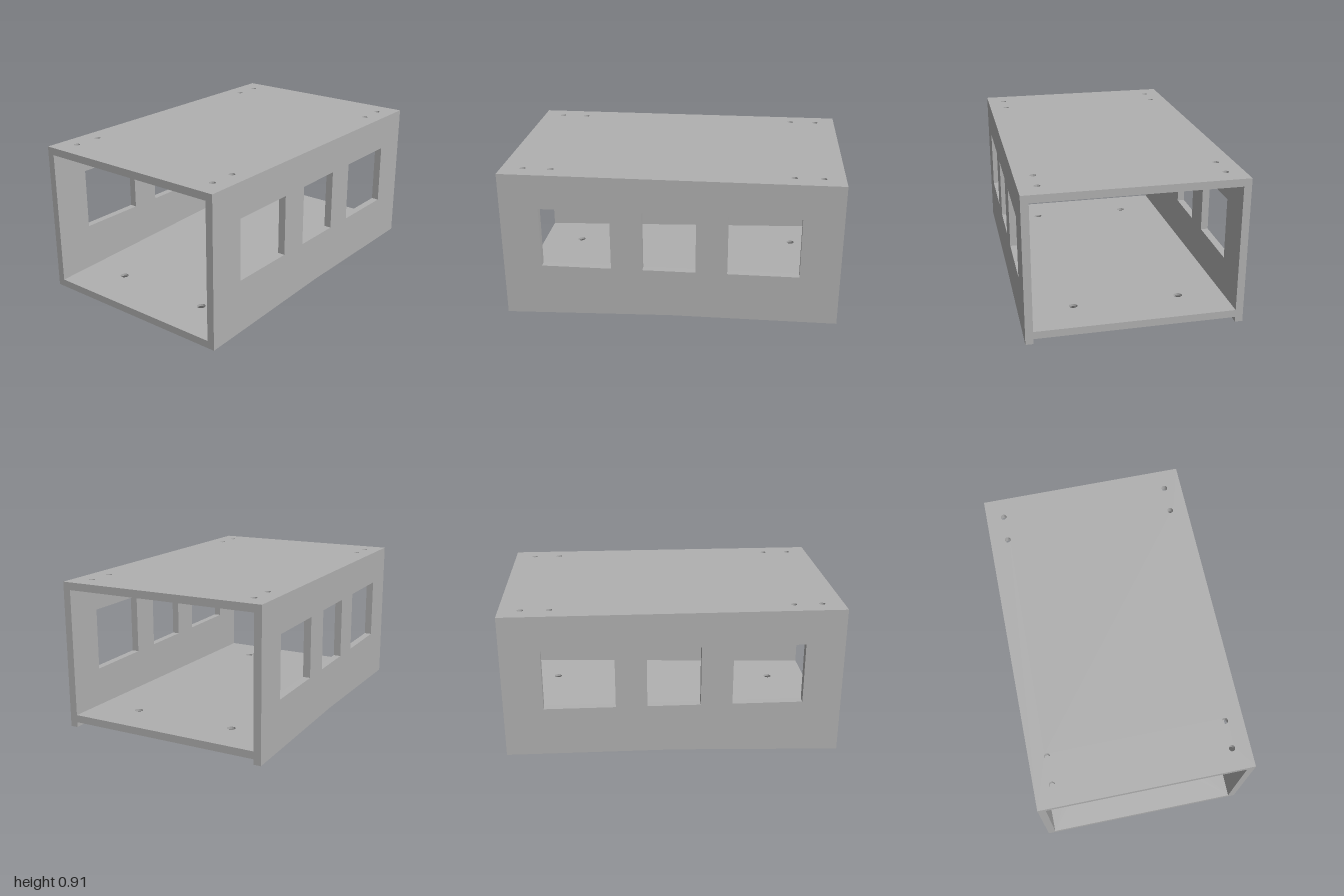
import * as THREE from 'three';
import { toCreasedNormals } from 'three/addons/utils/BufferGeometryUtils.js';

const W = 0.63, H = 0.91, L = 1;      // half width, height, half length
const T = 0.045;                      // plate thickness
const SLOPE = 0.031;                  // floor rise per unit towards the back

function rectangle(Type, x0, x1, y0, y1) {
  const r = new Type();
  r.moveTo(x0, y0).lineTo(x1, y0).lineTo(x1, y1).lineTo(x0, y1).closePath();
  return r;
}

// Horizontal plate with a round hole at every (+-x, z)
function plate(halfWidth, holeX, holeZs, radius) {
  const shape = rectangle(THREE.Shape, -halfWidth, halfWidth, -L, L);
  for (const x of [-holeX, holeX]) for (const z of holeZs) {
    shape.holes.push(new THREE.Path().absarc(x, -z, radius, 0, Math.PI * 2, true));
  }
  return new THREE.ExtrudeGeometry(shape, { depth: T, bevelEnabled: false, curveSegments: 32 })
    .rotateX(-Math.PI / 2);
}

// Tilt a level geometry so that it rises towards the back
function tilt(geometry) {
  const p = geometry.attributes.position;
  for (let i = 0; i < p.count; i++) p.setY(i, p.getY(i) + SLOPE * (L - p.getZ(i)));
  return toCreasedNormals(geometry, 0.4);
}

export function createModel() {
  const model = new THREE.Group();
  const grey = new THREE.MeshStandardMaterial({ color: 0xb0b0b0 });
  grey.name = 'grey';
  const add = (geometry, name) => {
    const mesh = new THREE.Mesh(geometry, grey);
    mesh.name = name;
    model.add(mesh);
  };

  // Roof with four pairs of small through holes
  const roof = plate(W, 0.523, [-0.873, -0.708, 0.705, 0.87], 0.018);
  add(toCreasedNormals(roof.translate(0, H - T, 0), 0.4), 'roof');

  // Side walls: three windows, lower edge sloping along the front half
  const side = new THREE.Shape();
  side.moveTo(L, 0).lineTo(L, H - T).lineTo(-L, H - T).lineTo(-L, SLOPE).lineTo(0, SLOPE).closePath();
  for (const [z0, z1] of [[0.348, 0.768], [-0.157, 0.16], [-0.765, -0.343]]) {
    side.holes.push(rectangle(THREE.Path, z0, z1, 0.33, 0.7));
  }
  const wall = new THREE.ExtrudeGeometry(side, { depth: T, bevelEnabled: false }).rotateY(-Math.PI / 2);
  add(wall.clone().translate(W, 0, 0), 'leftWall');
  add(wall.translate(-W + T, 0, 0), 'rightWall');

  // Sloping floor with four countersunk screw holes, wide side down
  const holeX = 0.317, holeZs = [-0.745, 0.737], wide = 0.053, narrow = 0.025;
  add(tilt(plate(W - T, holeX, holeZs, wide)), 'floor');
  const profile = [[wide, T], [narrow, T], [narrow, 0.03], [wide, 0]].map(p => new THREE.Vector2(...p));
  for (const x of [-holeX, holeX]) for (const z of holeZs) {
    add(tilt(new THREE.LatheGeometry(profile, 64).translate(x, 0, z)), 'countersink');
  }
  return model;
}
